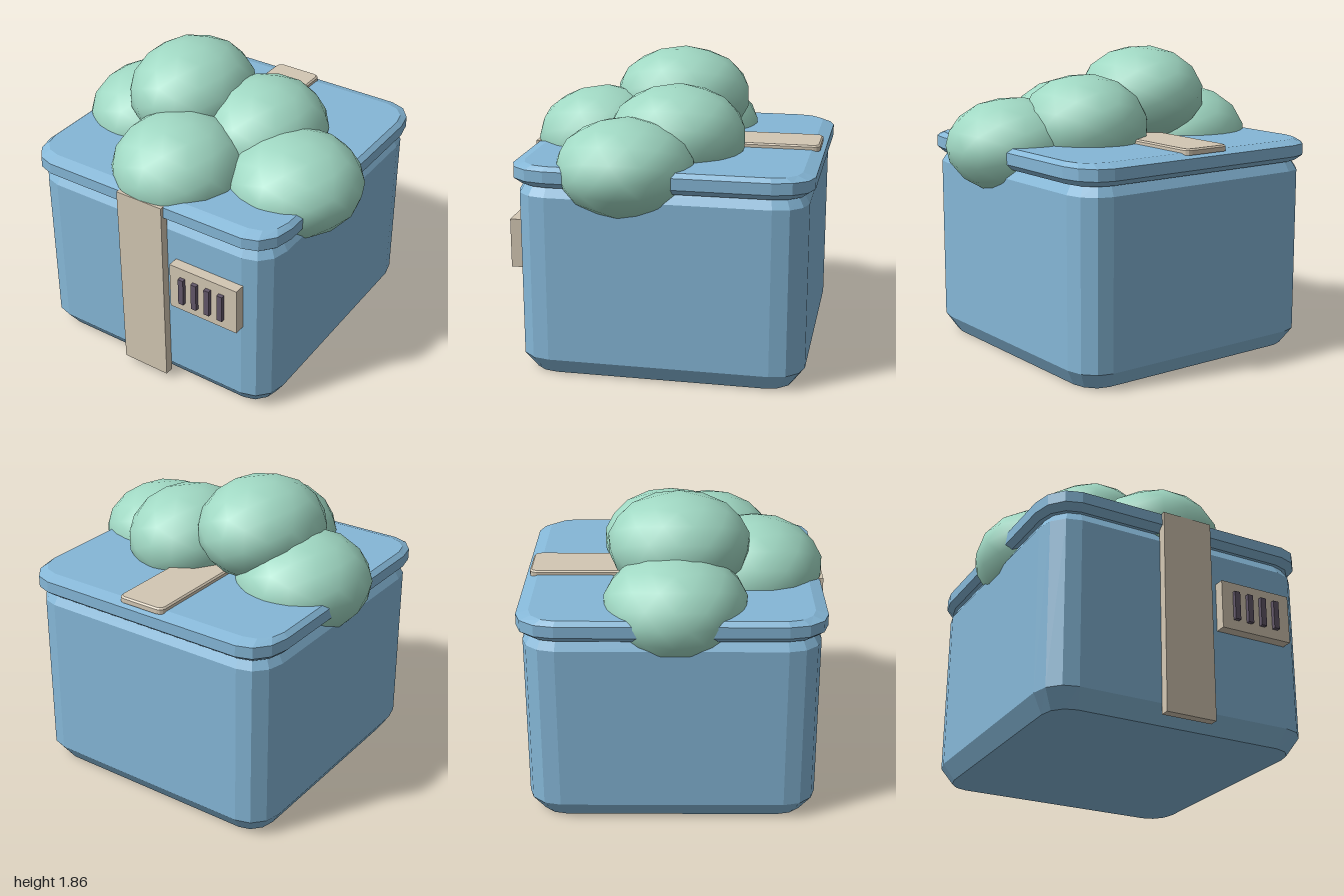
import * as THREE from 'three';

const mat = (name, color) => {
  const m = new THREE.MeshStandardMaterial({ color });
  m.name = name;
  return m;
};

// Rounded rectangle outline: half sizes hx, hz and corner radii rx, rz
function outline(hx, hz, rx, rz, steps = 3) {
  const pts = [];
  for (let c = 0; c < 4; c++) {
    const sx = c === 0 || c === 3 ? 1 : -1;
    const sz = c < 2 ? 1 : -1;
    for (let i = 0; i <= steps; i++) {
      const t = (c + i / steps) * Math.PI / 2;
      pts.push([sx * (hx - rx) + rx * Math.cos(t), sz * (hz - rz) + rz * Math.sin(t)]);
    }
  }
  return pts;
}

// Faceted solid stacked from rounded rectangles: [y, hx, hz, rx, rz]
function loft(levels) {
  const pos = [], idx = [];
  const rings = levels.map(([y, ...r]) => outline(...r).map(([x, z]) => [x, y, z]));
  const n = rings[0].length;
  rings.forEach(r => r.forEach(p => pos.push(...p)));
  for (let k = 0; k < rings.length - 1; k++) {
    for (let i = 0; i < n; i++) {
      const a = k * n + i, b = k * n + (i + 1) % n;
      idx.push(a, a + n, b, b, a + n, b + n);
    }
  }
  const top = (rings.length - 1) * n, centre = rings.length * n;
  pos.push(0, levels[0][0], 0, 0, levels[levels.length - 1][0], 0);
  for (let i = 0; i < n; i++) {
    const j = (i + 1) % n;
    idx.push(centre, i, j, centre + 1, top + j, top + i);
  }
  const indexed = new THREE.BufferGeometry();
  indexed.setAttribute('position', new THREE.Float32BufferAttribute(pos, 3));
  indexed.setIndex(idx);
  const geo = indexed.toNonIndexed();
  geo.computeVertexNormals();
  return geo;
}

export function createModel() {
  const group = new THREE.Group();
  group.name = 'foliageCrate';
  const blue = mat('blue', 0x85b7d7);
  const green = mat('green', 0xa0d8c3);
  const beige = mat('beige', 0xd3c7b3);
  const dark = mat('dark', 0x625769);

  const add = (name, geo, material, x, y, z) => {
    const mesh = new THREE.Mesh(geo, material);
    mesh.name = name;
    mesh.position.set(x, y, z);
    group.add(mesh);
    return mesh;
  };
  // Box given by its lower and upper corners
  const box = (name, material, x0, x1, y0, y1, z0, z1) =>
    add(name, new THREE.BoxGeometry(x1 - x0, y1 - y0, z1 - z0), material,
      (x0 + x1) / 2, (y0 + y1) / 2, (z0 + z1) / 2);

  // Container with chamfered base and shoulder
  add('body', loft([
    [0, 0.79, 0.80, 0.14, 0.16],
    [0.105, 0.855, 0.873, 0.18, 0.2],
    [1.13, 0.855, 0.873, 0.18, 0.2],
    [1.195, 0.815, 0.835, 0.15, 0.17],
  ]), blue, -0.045, 0, -0.03);

  // Overhanging lid
  add('lid', loft([
    [1.19, 0.845, 0.86, 0.17, 0.2],
    [1.225, 0.88, 0.905, 0.19, 0.235],
    [1.295, 0.88, 0.905, 0.19, 0.235],
    [1.32, 0.85, 0.83, 0.16, 0.17],
  ]), blue, -0.045, 0, -0.03);

  // Straps down the front and over the lid
  box('frontStrap', beige, -0.21, 0.11, 0.04, 1.3, 0.84, 0.897);
  add('topStrap', loft([
    [1.31, 0.16, 0.5, 0.04, 0.04],
    [1.338, 0.16, 0.5, 0.04, 0.04],
    [1.347, 0.15, 0.49, 0.035, 0.035],
  ]), beige, -0.05, 0, -0.41);

  // Vent panel and its slots
  box('ventPanel', beige, 0.17, 0.64, 0.63, 0.935, 0.84, 0.91);
  for (let i = 0; i < 4; i++) {
    const x = 0.263 + i * 0.091;
    box('ventSlot', dark, x - 0.018, x + 0.018, 0.693, 0.872, 0.9, 0.935);
  }

  // Flattened leafy clumps: centre, then radii
  const clumps = [
    ['frontClump', -0.05, 1.32, 0.48, 0.405, 0.32, 0.425],
    ['leftClump', 0.587, 1.28, 0.2, 0.415, 0.297, 0.42],
    ['rightClump', -0.59, 1.29, -0.01, 0.412, 0.31, 0.432],
    ['topClump', -0.275, 1.56, 0.01, 0.38, 0.31, 0.432],
    ['rearClump', 0.22, 1.405, -0.045, 0.385, 0.315, 0.425],
  ];
  const ball = new THREE.IcosahedronGeometry(1, 2);
  for (const [name, x, y, z, rx, ry, rz] of clumps) {
    add(name, ball, green, x, y, z).scale.set(rx, ry, rz);
  }
  return group;
}
